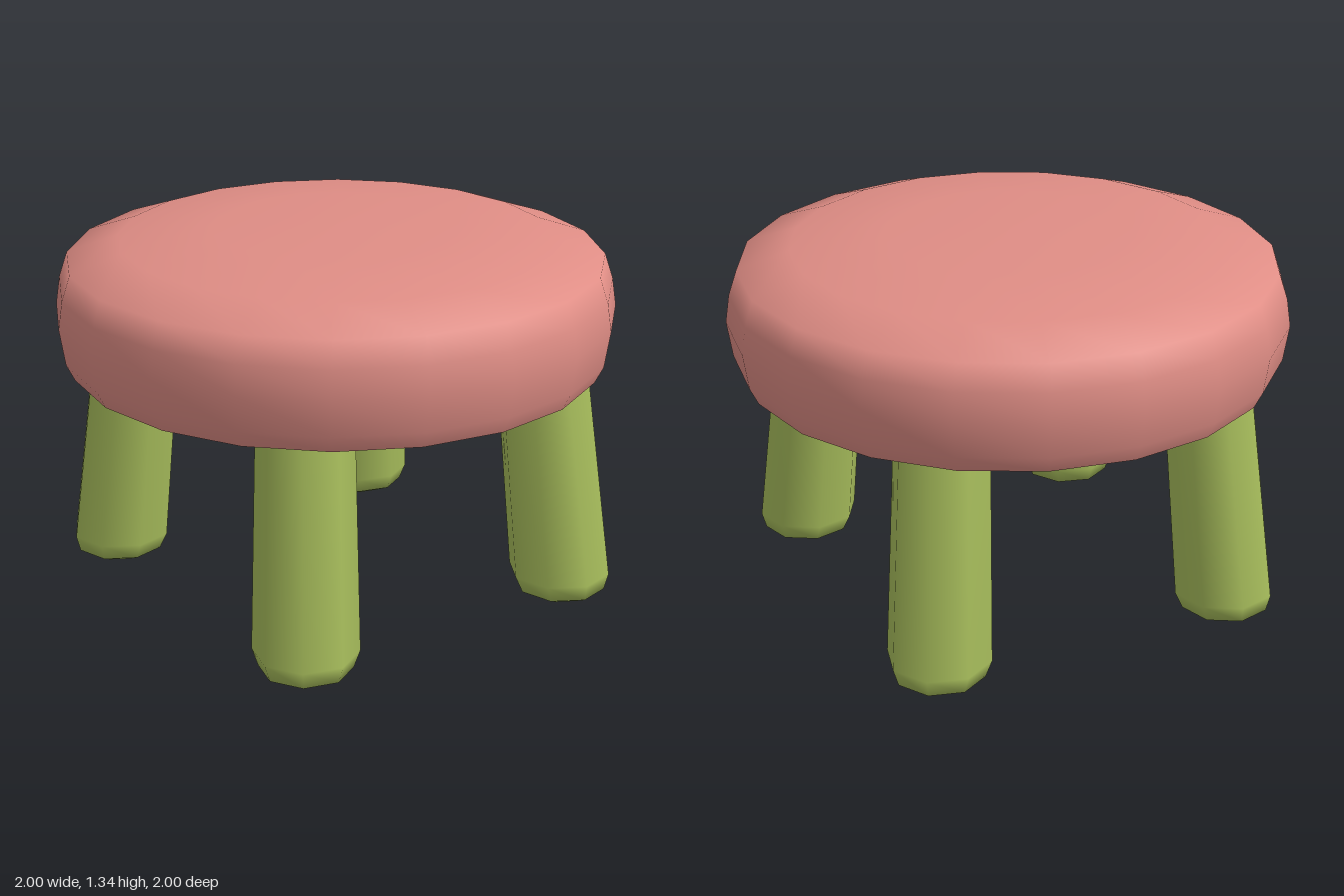
import * as THREE from 'three';

const toPoints = (pairs) => pairs.map(([r, y]) => new THREE.Vector2(r, y));

export function createModel() {
  const model = new THREE.Group();
  model.name = 'stool';

  const pink = new THREE.MeshStandardMaterial({ name: 'cushion pink', color: 0xdf8d85 });
  const green = new THREE.MeshStandardMaterial({ name: 'leg green', color: 0xa8be5c });

  // Rounded cushion with 20 sides
  const seatProfile = toPoints([
    [0.95, 0.86], [0.98, 0.92], [1, 1.05], [0.985, 1.15],
    [0.955, 1.24], [0.77, 1.305], [0.44, 1.34], [0, 1.342],
  ]);
  const seat = new THREE.Mesh(new THREE.LatheGeometry(seatProfile, 20), pink);
  seat.name = 'seat';
  model.add(seat);

  // Flat underside, kept separate for a sharp edge
  const underside = new THREE.Mesh(new THREE.CircleGeometry(0.95, 20), pink);
  underside.name = 'seatUnderside';
  underside.rotation.x = Math.PI / 2;
  underside.position.y = 0.86;
  model.add(underside);

  // Four eight-sided legs, splayed outwards by a shear so the feet stay level
  const legProfile = toPoints([[0, 0], [0.095, 0.003], [0.162, 0.035], [0.184, 0.095], [0.165, 0.9]]);
  const lean = new THREE.Matrix4();
  for (const sx of [1, -1]) {
    for (const sz of [1, -1]) {
      const turn = sx * sz * THREE.MathUtils.degToRad(7.5);
      const geometry = new THREE.LatheGeometry(legProfile, 8, turn);
      lean.set(
        1, -0.095 * sx, 0, 0.627 * sx,
        0, 1, 0, 0,
        0, -0.067 * sz, 1, 0.567 * sz,
        0, 0, 0, 1,
      );
      geometry.applyMatrix4(lean);
      const leg = new THREE.Mesh(geometry, green);
      leg.name = (sz > 0 ? 'front' : 'back') + (sx > 0 ? 'Left' : 'Right') + 'Leg';
      model.add(leg);
    }
  }
  return model;
}
